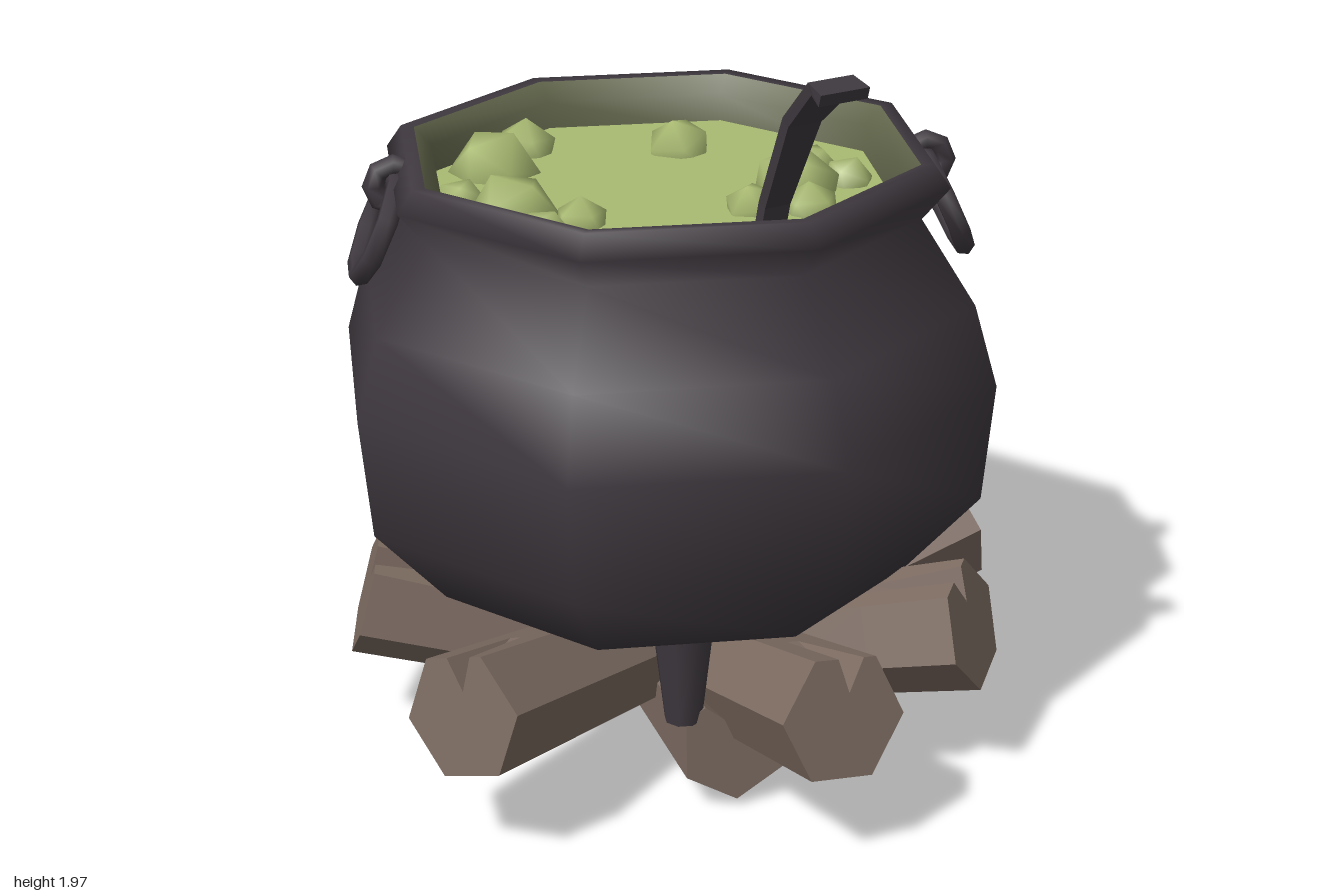
import * as THREE from 'three';
import { mergeVertices } from 'three/addons/utils/BufferGeometryUtils.js';

const material = (name, color, side = THREE.FrontSide) => {
  const m = new THREE.MeshStandardMaterial({ color, side });
  m.name = name;
  return m;
};

const iron = material('iron', 0x3f393f);
const innerGlow = material('stained inner rim', 0x62664b);
const brew = material('brew', 0xa9ba72);
const wood = material('wood', 0x7c6b61);

function add(parent, name, geometry, mat, x = 0, y = 0, z = 0) {
  const mesh = new THREE.Mesh(geometry, mat);
  mesh.name = name;
  mesh.position.set(x, y, z);
  parent.add(mesh);
  return mesh;
}

const lathe = (points) =>
  new THREE.LatheGeometry(points.map(([r, y]) => new THREE.Vector2(r, y)), 8);

// Hexagonal log along +z, with a wedge split in the outer end that closes inward
function logGeometry(length, radius) {
  const top = radius * Math.cos(Math.PI / 6);
  const tipY = top - radius * 0.5;
  const shape = new THREE.Shape();
  for (let i = 0; i < 6; i++) {
    const a = -Math.PI / 3 * 2 + i * Math.PI / 3;
    const x = Math.cos(a) * radius, y = Math.sin(a) * radius;
    if (i === 0) shape.moveTo(x, y); else shape.lineTo(x, y);
    if (i === 3) {
      shape.lineTo(radius * 0.3, top);
      shape.lineTo(radius * 0.08, tipY);
      shape.lineTo(-radius * 0.12, top);
    }
  }
  const geo = new THREE.ExtrudeGeometry(shape, { depth: length, steps: 4, bevelEnabled: false });
  const p = geo.attributes.position;
  for (let i = 0; i < p.count; i++) {
    const z = p.getZ(i);
    let y = p.getY(i);
    if (Math.abs(y - tipY) < 1e-4 && z < length - 0.01) y = top;
    const taper = 0.78 + 0.22 * z / length;
    p.setXY(i, p.getX(i) * taper, y * taper);
  }
  geo.computeVertexNormals();
  return geo;
}

// Low-poly bubble with softened normals
function bubbleGeometry(radius) {
  let geo = new THREE.IcosahedronGeometry(radius, 0);
  geo.deleteAttribute('uv');
  geo.deleteAttribute('normal');
  geo = mergeVertices(geo);
  geo.computeVertexNormals();
  return geo;
}

// Flat handle swept along a few stations: z, y, width, centre x
function ladleGeometry() {
  const stations = [
    [0.46, 1.42, 0.07, -0.02], [0.515, 1.63, 0.07, -0.02], [0.64, 1.87, 0.09, -0.028],
    [0.765, 1.985, 0.12, -0.03], [0.815, 1.97, 0.13, -0.03],
  ];
  const geo = new THREE.BoxGeometry(1, 1, 1, 1, stations.length - 1, 1);
  const p = geo.attributes.position;
  for (let i = 0; i < p.count; i++) {
    const k = Math.round((p.getY(i) + 0.5) * (stations.length - 1));
    const [z, y, w, cx] = stations[k];
    const a = stations[Math.max(k - 1, 0)], b = stations[Math.min(k + 1, stations.length - 1)];
    const dz = b[0] - a[0], dy = b[1] - a[1], d = Math.hypot(dz, dy);
    const t = p.getZ(i) * 0.03;
    p.setXYZ(i, cx + p.getX(i) * w, y - t * dz / d, z + t * dy / d);
  }
  const flat = geo.toNonIndexed();
  flat.computeVertexNormals();
  return flat;
}

export function createModel() {
  const model = new THREE.Group();
  model.name = 'cauldron on firewood';

  // Pot, leaning back very slightly
  const pot = new THREE.Group();
  pot.name = 'cauldron';
  pot.position.set(-0.01, 0, -0.01);
  pot.rotation.x = -0.012;
  model.add(pot);
  add(pot, 'potBody', lathe([
    [0, 0.41], [0.36, 0.43], [0.64, 0.525], [0.83, 0.74], [0.86, 1.05],
    [0.8, 1.26], [0.66, 1.475], [0.73, 1.56], [0.69, 1.617], [0.655, 1.615],
  ]), iron);
  add(pot, 'innerRim', lathe([[0.655, 1.615], [0.61, 1.57], [0.6, 1.47]]), innerGlow);
  add(pot, 'brewSurface', lathe([[0.605, 1.5], [0, 1.5]]), brew);

  // Bubbles: x, z, radius
  [
    [-0.3, -0.34, 0.12], [-0.15, -0.46, 0.088], [0.2, -0.26, 0.09], [-0.49, -0.15, 0.07],
    [-0.42, 0, 0.118], [-0.42, 0.16, 0.068], [-0.3, 0.125, 0.07], [0.11, 0.25, 0.072],
    [0.28, 0.18, 0.118], [0.4, 0.06, 0.075], [0.43, 0.19, 0.068], [0.23, 0.33, 0.075],
  ].forEach(([x, z, r], i) => {
    add(pot, 'bubble', bubbleGeometry(r), brew, x, 1.5, z).rotation.set(0.3, i * 1.3, 0.2);
  });

  // Ring handles on opposite sides, each hung from a small loop
  for (const turn of [0, Math.PI]) {
    const handle = new THREE.Group();
    handle.name = 'ringHandle';
    handle.rotation.y = turn + Math.PI / 2 - Math.PI / 8;
    pot.add(handle);
    const ring = add(handle, 'ring', new THREE.TorusGeometry(0.135, 0.028, 6, 8), iron, 0, 1.445, 0.715);
    ring.rotation.set(-0.42, 0, 0);
    ring.geometry.rotateZ(Math.PI / 8);
    const loop = add(handle, 'ringLoop', new THREE.TorusGeometry(0.052, 0.028, 6, 8), iron, 0, 1.545, 0.67);
    loop.rotation.y = Math.PI / 2;
  }

  // Three stubby feet
  for (let i = 0; i < 3; i++) {
    const a = THREE.MathUtils.degToRad(115 + i * 120);
    add(pot, 'foot', new THREE.CylinderGeometry(0.08, 0.048, 0.27, 8), iron,
      Math.cos(a) * 0.49, 0.4, Math.sin(a) * 0.49);
  }

  add(model, 'ladleHandle', ladleGeometry(), iron);

  // Firewood: outer x, y, z, inner height, radius, roll
  [
    [-0.81, 0.42, 0.39, 0.24, 0.168, 0.3],
    [-0.02, 0.42, 0.86, 0.2, 0.17, -0.15],
    [0.5, 0.45, 0.66, 0.18, 0.168, 0.2],
    [0.86, 0.42, 0.06, 0.15, 0.168, -0.2],
    [0.54, 0.41, -0.27, 0.14, 0.16, 0.5],
    [-0.06, 0.41, -0.86, 0.16, 0.168, 0.1],
    [-0.72, 0.41, -0.36, 0.17, 0.168, -0.3],
    [-0.1, 0.2, 0.5, 0.145, 0.155, 0.5],
  ].forEach(([x, y, z, innerY, radius, roll]) => {
    const outer = new THREE.Vector3(x, y, z);
    const d = Math.hypot(x, z);
    const inner = new THREE.Vector3(-x / d * 0.1, innerY, -z / d * 0.1);
    const geo = logGeometry(outer.distanceTo(inner), radius);
    geo.rotateZ(roll);
    add(model, 'log', geo, wood, inner.x, inner.y, inner.z).lookAt(outer);
  });

  return model;
}
